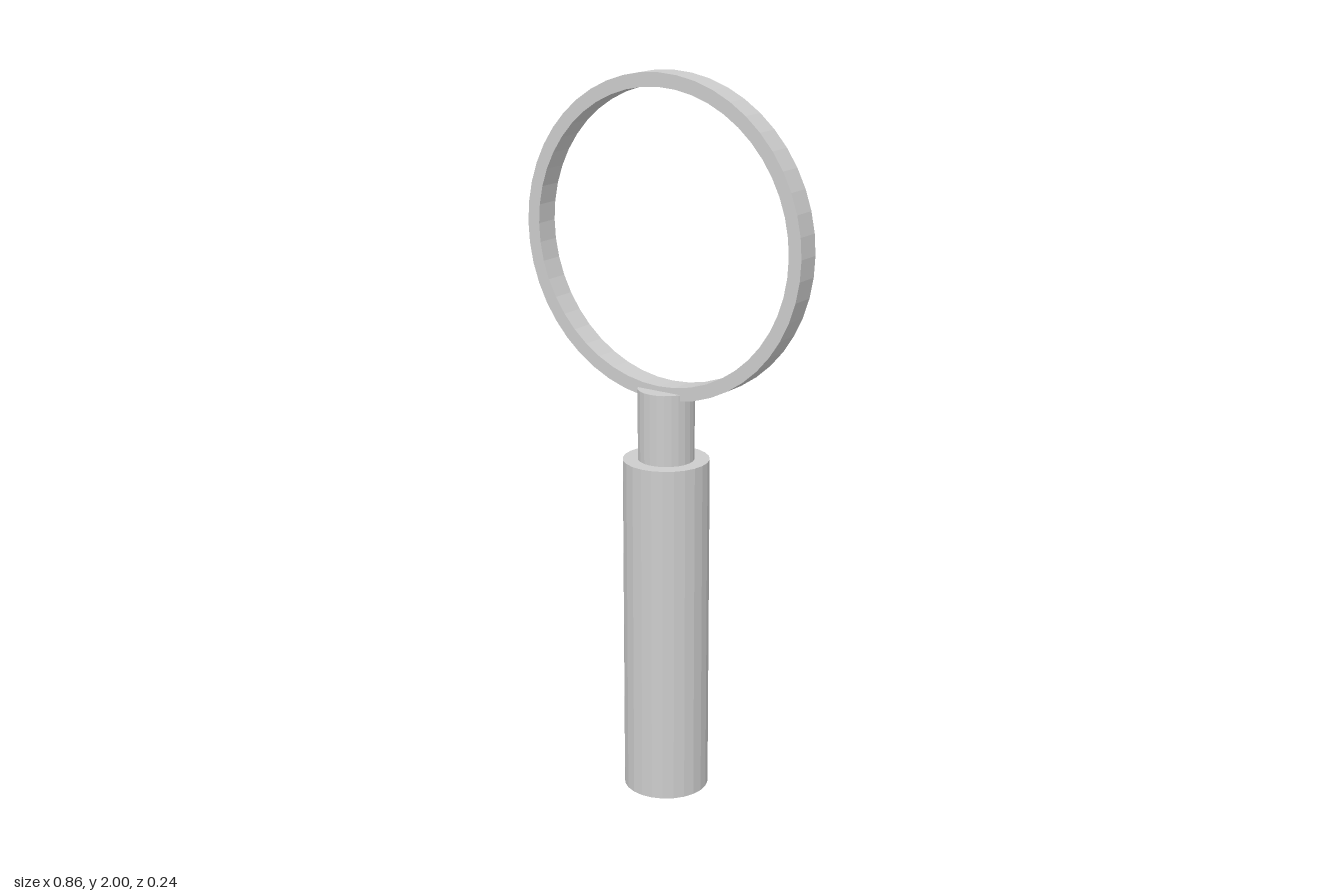
import * as THREE from 'three';

export function createModel() {
  const model = new THREE.Group();
  const grey = new THREE.MeshStandardMaterial({ color: 0xcccccc });
  grey.name = 'plain grey';
  grey.flatShading = true;

  const add = (name, geometry, y) => {
    const mesh = new THREE.Mesh(geometry, grey);
    mesh.name = name;
    mesh.position.y = y;
    model.add(mesh);
  };
  const rod = (radius, bottom, top, name) =>
    add(name, new THREE.CylinderGeometry(radius, radius, top - bottom, 24), (top + bottom) / 2);

  // Thick grip with a slimmer neck that reaches into the hoop
  rod(0.118, 0, 0.963, 'handle');
  rod(0.077, 0.963, 1.16, 'neck');

  // Open hoop with a rectangular section, standing upright and facing front
  const outer = 0.432, inner = 0.395, half = 0.034;
  const section = [[inner, -half], [outer, -half], [outer, half], [inner, half], [inner, -half]]
    .map(([r, h]) => new THREE.Vector2(r, h));
  const hoop = new THREE.LatheGeometry(section, 48);
  hoop.rotateX(Math.PI / 2);
  add('hoop', hoop, 2 - outer);

  return model;
}
